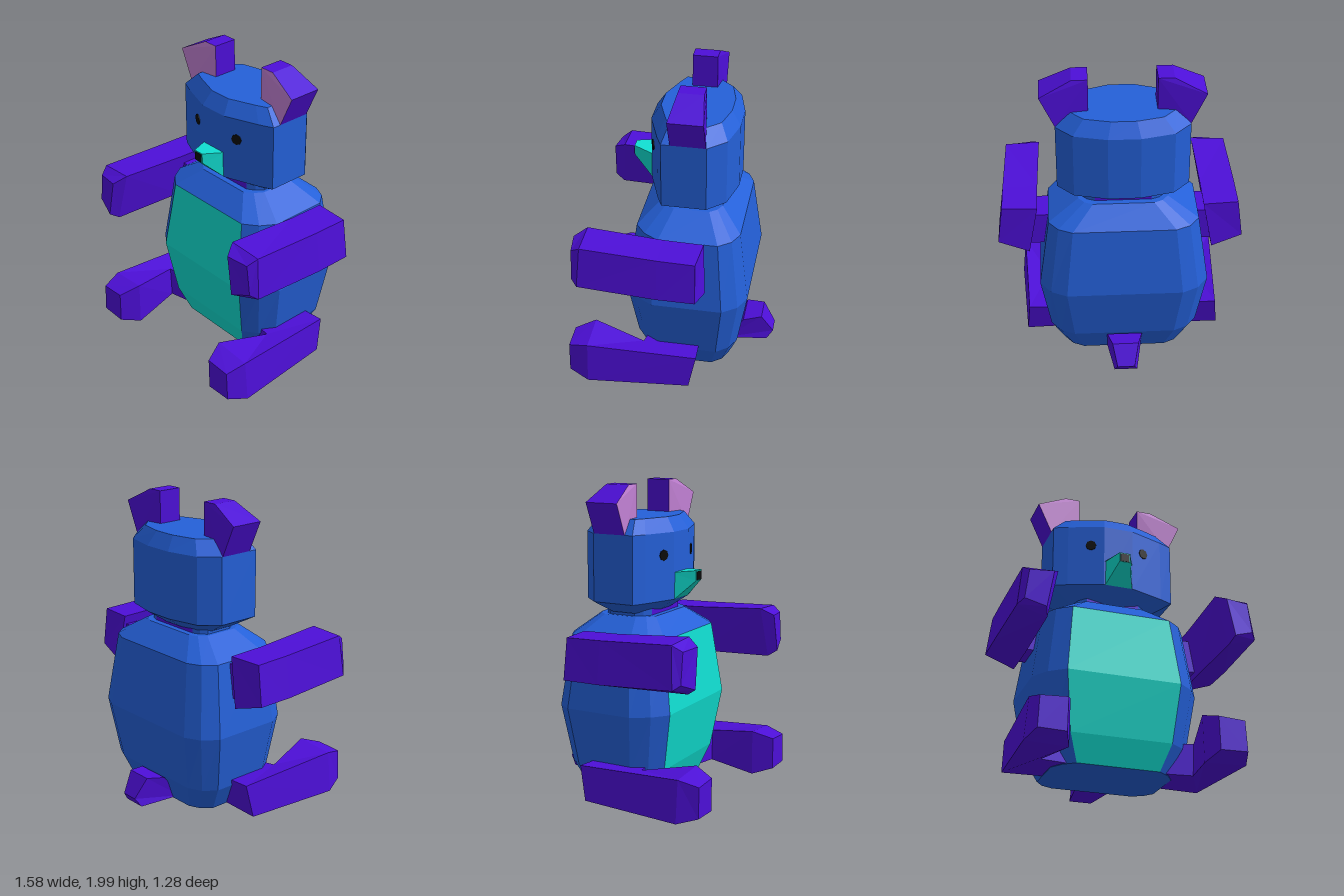
import * as THREE from 'three';

const mat = (name, color) => {
  const m = new THREE.MeshStandardMaterial({ color });
  m.name = name;
  return m;
};

const CX = -0.016; // symmetry plane of the torso and head

// Joins rings of points into a closed faceted solid. pick(row, side) gives the
// material index; row -1 is the first cap and row rings.length - 1 the last.
function loft(name, rings, mats, pick = () => 0) {
  const buckets = mats.map(() => []);
  const n = rings[0].length, last = rings.length - 1;
  const add = (b, ...pts) => buckets[b].push(pts);
  for (let r = 0; r < last; r++) {
    for (let s = 0; s < n; s++) {
      const t = (s + 1) % n, b = pick(r, s);
      add(b, rings[r][s], rings[r][t], rings[r + 1][t]);
      add(b, rings[r][s], rings[r + 1][t], rings[r + 1][s]);
    }
  }
  for (let s = 1; s < n - 1; s++) {
    add(pick(-1, s), rings[0][0], rings[0][s + 1], rings[0][s]);
    add(pick(last, s), rings[last][0], rings[last][s], rings[last][s + 1]);
  }
  // Turn all faces outward if the enclosed volume is negative
  const v = (p) => new THREE.Vector3(...p);
  const c = v(rings[0][0]);
  let volume = 0;
  for (const [p, q, w] of buckets.flat()) {
    volume += v(p).sub(c).dot(v(q).sub(c).cross(v(w).sub(c)));
  }
  const geo = new THREE.BufferGeometry(), pos = [];
  buckets.forEach((tris, i) => {
    const start = pos.length / 3;
    for (const [p, q, w] of tris) pos.push(...p, ...(volume < 0 ? [...w, ...q] : [...q, ...w]));
    geo.addGroup(start, tris.length * 3, i);
  });
  geo.setAttribute('position', new THREE.Float32BufferAttribute(pos, 3));
  geo.computeVertexNormals();
  const mesh = new THREE.Mesh(geo, mats.length > 1 ? mats : mats[0]);
  mesh.name = name;
  return mesh;
}

// Mirrors half a section (front to back, x > 0) into a full ring;
// side 11 of the 12 is the front panel and side 5 the back panel.
const section = (half, y, sx, sz, cz) => {
  const full = [...half, ...half.map(([x, z]) => [-x, z]).reverse()];
  return full.map(([x, z]) => [CX + x * sx, y, cz + z * sz]);
};

export function createModel() {
  const blue = mat('blue fur', 0x2460d8);
  const purple = mat('purple limbs', 0x4d0fd8);
  const teal = mat('turquoise belly', 0x10dccf);
  const pink = mat('pink inner ear', 0xc07fd2);
  const black = mat('black', 0x0a0a0a);
  const model = new THREE.Group();
  model.name = 'bear';

  // Barrel body with belly panel
  const bodyHalf = [[0.372, 0.395], [0.475, 0.315], [0.545, 0.2],
    [0.545, -0.25], [0.475, -0.345], [0.372, -0.395]];
  const bodyRings = [
    [0.04, 0.72, 0.68], [0.21, 0.885, 0.84], [0.59, 1, 1], [1.05, 0.875, 0.84], [1.17, 0.52, 0.5],
  ].map(([y, sx, sz]) => section(bodyHalf, y, sx, sz, -0.095));
  model.add(loft('body', bodyRings, [blue, teal],
    (r, s) => (s === 11 && r >= 0 && r < 3 ? 1 : 0)));

  // Neck, purple at front and back
  const neck = [1.15, 1.22].map((y) => section(bodyHalf, y, 0.48, 0.4, -0.095));
  model.add(loft('neck', neck, [blue, purple], (r, s) => (r === 0 && (s === 11 || s === 5) ? 1 : 0)));

  // Head
  const headHalf = [[0.1, 0.28], [0.325, 0.2], [0.415, 0.16],
    [0.415, -0.12], [0.31, -0.23], [0.1, -0.28]];
  const headRings = [
    [1.19, 0.66, 0.58], [1.27, 1, 1], [1.7, 1, 1], [1.79, 0.78, 0.79],
  ].map(([y, sx, sz]) => section(headHalf, y, sx, sz, -0.1));
  model.add(loft('head', headRings, [blue]));

  // Muzzle: side profile [z, y, half width]
  const across = (profile) => [-1, 1].map((k) => profile.map(([z, y, h]) => [CX + k * h, y, z]));
  model.add(loft('muzzle', across([
    [0.15, 1.44, 0.1], [0.18, 1.443, 0.094], [0.305, 1.455, 0.036],
    [0.305, 1.39, 0.036], [0.18, 1.27, 0.092], [0.15, 1.27, 0.1],
  ]), [teal]));
  const nose = new THREE.Mesh(new THREE.BoxGeometry(0.06, 0.055, 0.006), black);
  nose.name = 'nose';
  nose.position.set(CX, 1.42, 0.305);
  model.add(nose);

  // Tail
  model.add(loft('tail', across([
    [-0.32, 0.045, 0.12], [-0.44, 0.21, 0.115], [-0.56, 0.23, 0.085],
    [-0.64, 0.1, 0.056], [-0.6, 0.04, 0.075],
  ]), [purple]));

  for (const side of [1, -1]) {
    const label = side > 0 ? 'left' : 'right';
    const mirror = (rings, cx) => rings.map((r) => r.map(([x, y, z]) => [cx + side * x, y, z]));

    // Ear: front outline [x, y, half depth], pink on the front cap
    const ear = [[0.21, 2, 0.08], [0.31, 2, 0.08], [0.507, 1.9, 0.11],
      [0.415, 1.7, 0.11], [0.21, 1.75, 0.08]];
    const earRings = [-1, 1].map((k) => ear.map(([x, y, h]) => [x, y, -0.105 + k * h]));
    model.add(loft(label + 'Ear', mirror(earRings, CX), [purple, pink], (r) => (r === 1 ? 1 : 0)));

    // Eye lies on the sloping front of the face
    const eye = new THREE.Mesh(new THREE.CylinderGeometry(0.035, 0.035, 0.008, 8), black);
    eye.name = label + 'Eye';
    eye.rotation.set(Math.PI / 2, 0, -side * 0.34);
    eye.position.set(CX + side * 0.183, 1.56, 0.152);
    model.add(eye);

    // Arm: shoulder stub, then tilted forearm reaching forward
    const stub = [0.36, 0.58].map((x) => [[x, 1.04, 0], [x, 1.04, -0.21], [x, 0.82, -0.21], [x, 0.82, 0]]);
    model.add(loft(label + 'Shoulder', mirror(stub, 0), [purple]));
    const arm = [
      [[0.53, 1.1, -0.23], [0.755, 1.1, -0.215], [0.79, 0.84, -0.22], [0.59, 0.78, -0.25]],
      [[0.53, 1.105, 0.02], [0.755, 1.105, 0.02], [0.79, 0.84, 0.02], [0.585, 0.785, 0.02]],
      [[0.52, 1.135, 0.5], [0.745, 1.125, 0.5], [0.775, 0.86, 0.52], [0.59, 0.8, 0.53]],
      [[0.565, 1.09, 0.58], [0.715, 1.085, 0.56], [0.74, 0.89, 0.56], [0.61, 0.84, 0.59]],
    ];
    model.add(loft(label + 'Arm', mirror(arm, 0), [purple]));

    // Leg: comes out sideways from the hip and bends forward to the foot
    const leg = [
      [[0.3, 0.24, 0.13], [0.3, 0.24, -0.19], [0.28, 0.045, -0.15], [0.28, 0.045, 0.13]],
      [[0.5, 0.25, 0.17], [0.63, 0.26, -0.2], [0.65, 0.04, -0.155], [0.49, 0.04, 0.17]],
      [[0.415, 0.31, 0.51], [0.665, 0.29, 0.51], [0.69, 0.02, 0.51], [0.42, 0.01, 0.51]],
      [[0.465, 0.265, 0.64], [0.635, 0.255, 0.64], [0.645, 0.06, 0.64], [0.47, 0.055, 0.64]],
    ];
    model.add(loft(label + 'Leg', mirror(leg, CX), [purple]));
  }

  return model;
}
